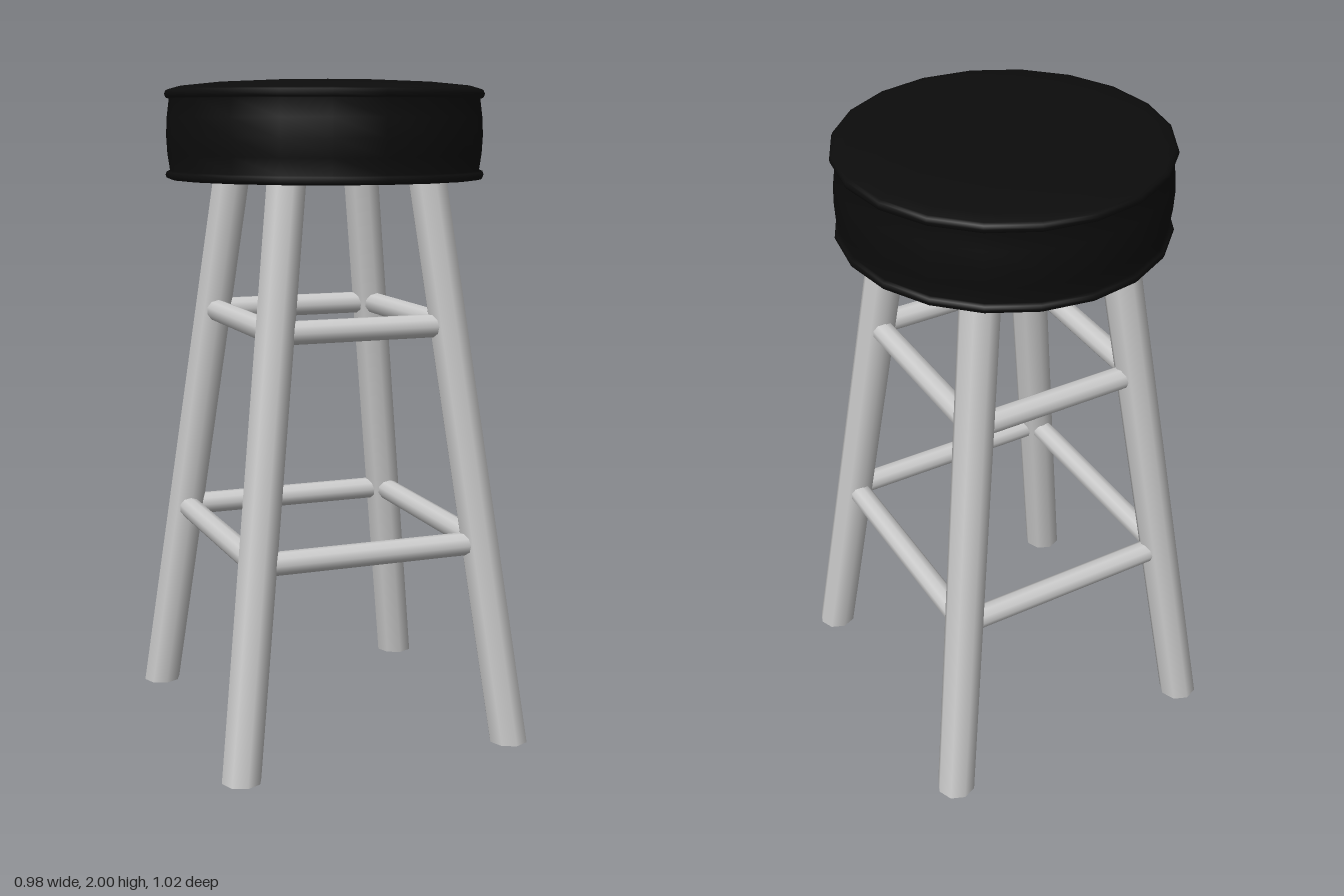
import * as THREE from 'three';

const UP = new THREE.Vector3(0, 1, 0);
// Leg centre line: splayed outwards towards the floor
const legX = (y) => 0.431 - 0.1235 * y;
const legZ = (y) => 0.449 - 0.109 * y;

export function createModel() {
  const group = new THREE.Group();
  const black = new THREE.MeshStandardMaterial({ name: 'blackVinyl', color: 0x0c0c0c });
  const grey = new THREE.MeshStandardMaterial({ name: 'paleGrey', color: 0xcccccc });

  function add(name, geometry, material) {
    const mesh = new THREE.Mesh(geometry, material);
    mesh.name = name;
    group.add(mesh);
    return mesh;
  }

  // Padded seat with piping round both edges and a slightly domed top
  const profile = [
    [0, 1.705], [0.472, 1.705], [0.482, 1.708], [0.486, 1.717], [0.482, 1.727], [0.472, 1.731],
    [0.479, 1.78], [0.482, 1.835], [0.479, 1.89], [0.472, 1.943],
    [0.482, 1.947], [0.486, 1.958], [0.482, 1.968], [0.472, 1.972],
    [0.44, 1.981], [0.33, 1.992], [0.17, 1.999], [0, 2],
  ].map(([r, y]) => new THREE.Vector2(r, y));
  add('seat', new THREE.LatheGeometry(profile, 20), black).position.x = -0.003;

  // Four splayed legs, sheared so that their feet lie flat
  const legTop = 1.75;
  for (const sx of [-1, 1]) {
    for (const sz of [-1, 1]) {
      const leg = new THREE.CylinderGeometry(0.06, 0.06, legTop, 8);
      leg.translate(0, legTop / 2, 0);
      leg.applyMatrix4(new THREE.Matrix4().set(
        1, sx * -0.1235, 0, sx * legX(0),
        0, 1, 0, 0,
        0, sz * -0.109, 1, sz * legZ(0),
        0, 0, 0, 1));
      add((sz > 0 ? 'front' : 'back') + (sx > 0 ? 'Left' : 'Right') + 'Leg', leg, grey);
    }
  }

  // Round rung between two points
  function addRung(name, a, b) {
    const dir = b.clone().sub(a);
    const rung = add(name, new THREE.CylinderGeometry(0.035, 0.035, dir.length(), 10), grey);
    rung.position.copy(a).add(b).multiplyScalar(0.5);
    rung.quaternion.setFromUnitVectors(UP, dir.normalize());
  }

  // Two square rings of rungs joining the legs
  for (const [level, y] of [['lower', 0.62], ['upper', 1.28]]) {
    const x = legX(y), z = legZ(y);
    for (const s of [-1, 1]) {
      addRung(level + (s > 0 ? 'Front' : 'Back') + 'Rung',
        new THREE.Vector3(-x, y, s * z), new THREE.Vector3(x, y, s * z));
      addRung(level + (s > 0 ? 'Left' : 'Right') + 'Rung',
        new THREE.Vector3(s * x, y, -z), new THREE.Vector3(s * x, y, z));
    }
  }
  return group;
}
